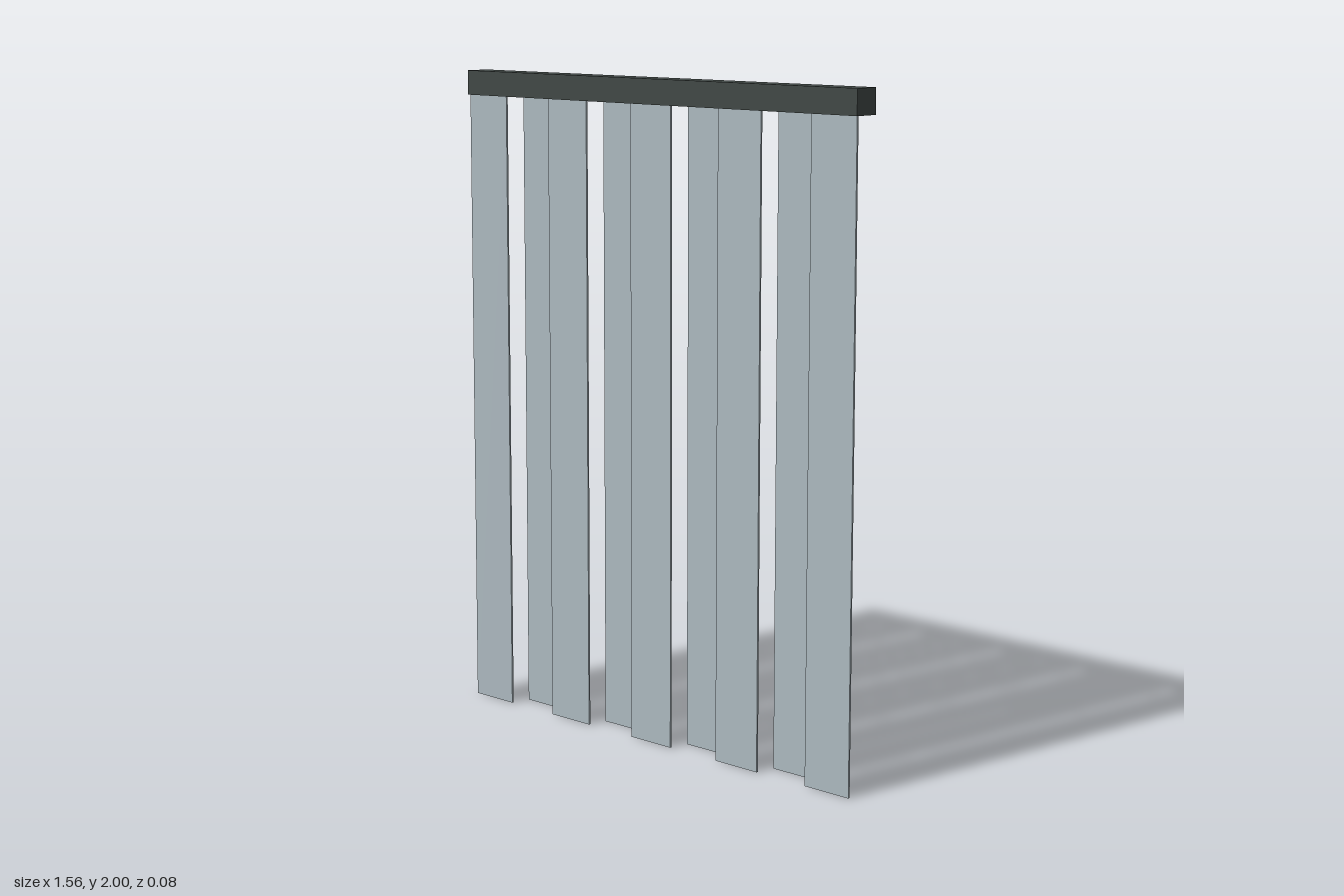
import * as THREE from 'three';

export function createModel() {
  const group = new THREE.Group();
  const railMaterial = new THREE.MeshStandardMaterial({ color: 0x404745 });
  railMaterial.name = 'dark grey rail';
  const stripMaterial = new THREE.MeshStandardMaterial({ color: 0xabb8be });
  stripMaterial.name = 'pale blue grey plastic';

  // Header rail across the top
  const railHeight = 0.075;
  const rail = new THREE.Mesh(new THREE.BoxGeometry(1.564, railHeight, 0.08), railMaterial);
  rail.name = 'headerRail';
  rail.position.y = 2 - railHeight / 2;
  group.add(rail);

  // Nine hanging strips, alternating between a front and a back row
  const count = 9, pitch = 0.174, length = 2 - railHeight;
  const stripGeometry = new THREE.BoxGeometry(0.163, length, 0.006);
  for (let i = 0; i < count; i++) {
    const strip = new THREE.Mesh(stripGeometry, stripMaterial);
    strip.name = `curtainStrip${i + 1}`;
    strip.position.set((i - (count - 1) / 2) * pitch, length / 2, i % 2 ? -0.031 : 0.031);
    group.add(strip);
  }

  return group;
}
